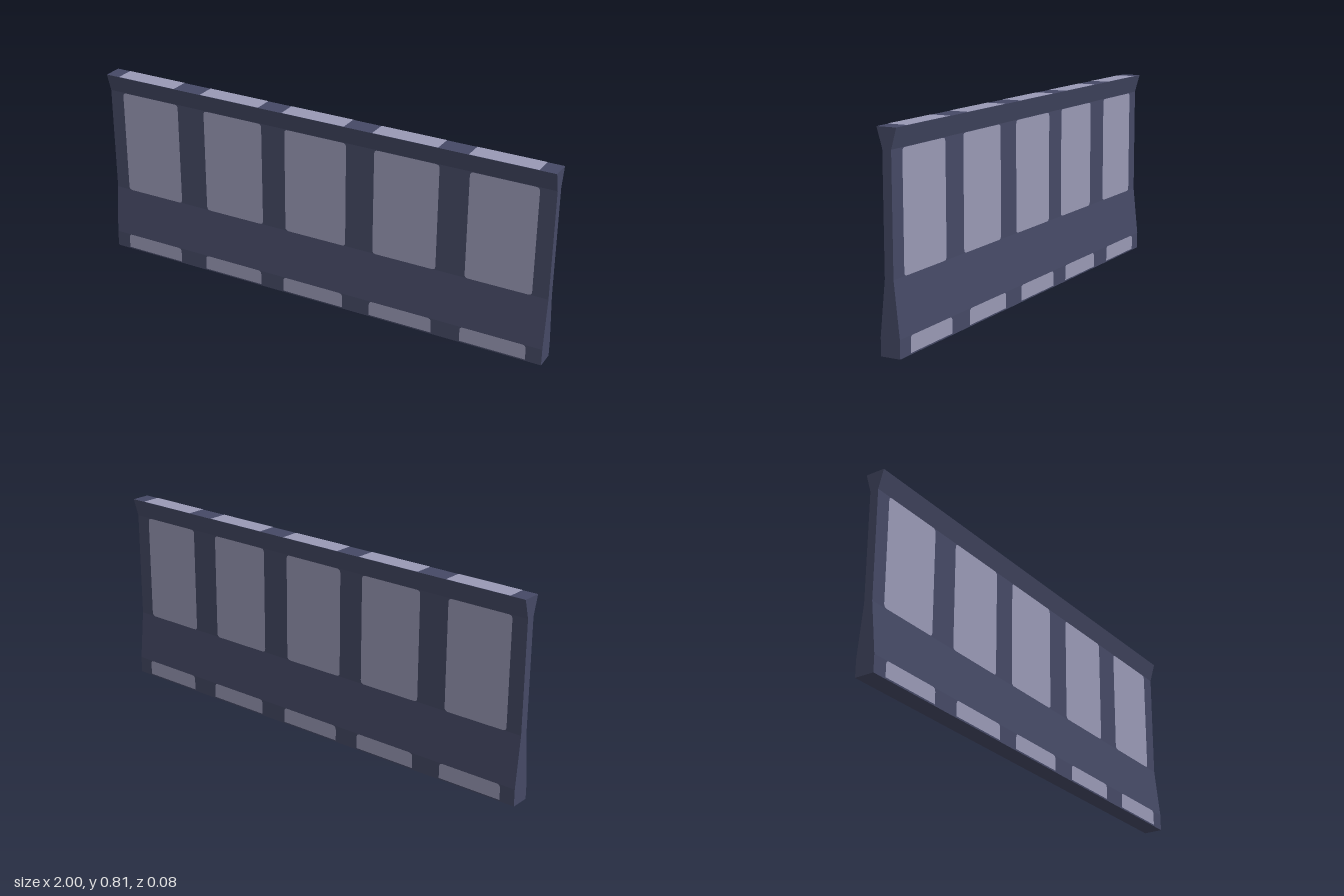
import * as THREE from 'three';

const HEIGHT = 0.81, WIDE = 0.04, THIN = 0.018, LIFT = 0.001;

// Half profile as [half depth, height], mirrored front to back
const PROFILE = [[WIDE, 0], [WIDE, 0.07], [THIN, 0.28], [THIN, 0.733], [WIDE, HEIGHT]];

// Left and right limits of each panel column
const COLUMNS = [[-0.937, -0.66], [-0.532, -0.255], [-0.147, 0.132], [0.255, 0.532], [0.656, 0.934]];

// Flat panel with rounded top corners and, optionally, rounded bottom corners
function panelGeometry(x0, x1, y0, y1, top, bottom) {
  const s = new THREE.Shape();
  s.moveTo(x0 + bottom, y0);
  s.lineTo(x1 - bottom, y0);
  if (bottom) s.quadraticCurveTo(x1, y0, x1, y0 + bottom);
  s.lineTo(x1, y1 - top);
  if (top) s.quadraticCurveTo(x1, y1, x1 - top, y1);
  s.lineTo(x0 + top, y1);
  if (top) s.quadraticCurveTo(x0, y1, x0, y1 - top);
  s.lineTo(x0, y0 + bottom);
  if (bottom) s.quadraticCurveTo(x0, y0, x0 + bottom, y0);
  return new THREE.ShapeGeometry(s, 4);
}

export function createModel() {
  const model = new THREE.Group();
  model.name = 'wallBarrier';

  const navy = new THREE.MeshStandardMaterial({ color: 0x454965 });
  navy.name = 'dark slate blue';
  const lilac = new THREE.MeshStandardMaterial({ color: 0x9999b5 });
  lilac.name = 'pale lilac grey';

  const add = (name, geometry, material, parent = model) => {
    const mesh = new THREE.Mesh(geometry, material);
    mesh.name = name;
    parent.add(mesh);
    return mesh;
  };

  // Wall body: two lengths meeting at a seam
  const outline = [...PROFILE, ...PROFILE.map(([z, y]) => [-z, y]).reverse()];
  const section = new THREE.Shape(outline.map(([z, y]) => new THREE.Vector2(z, y)));
  for (const [name, x0, x1] of [['shortWallSection', -1, -0.597], ['longWallSection', -0.597, 1]]) {
    const body = new THREE.ExtrudeGeometry(section, { depth: x1 - x0, bevelEnabled: false });
    body.rotateY(Math.PI / 2).translate(x0, 0, 0);
    add(name, body, navy);
  }

  // Upper and lower panels on both faces
  for (const side of [1, -1]) {
    const face = new THREE.Group();
    face.name = side > 0 ? 'frontPanels' : 'backPanels';
    model.add(face);
    for (const [a, b] of COLUMNS) {
      const [x0, x1] = side > 0 ? [a, b] : [-b, -a];
      add('upperPanel', panelGeometry(x0, x1, 0.28, 0.732, 0.016, 0.016), lilac, face).position.z = THIN + LIFT;
      add('lowerPanel', panelGeometry(x0, x1, 0.006, 0.07, 0.016, 0), lilac, face).position.z = WIDE + LIFT;
    }
    if (side < 0) face.rotation.y = Math.PI;
  }

  // Cap strips along the top
  for (const [x0, x1] of COLUMNS) {
    const cap = panelGeometry(x0, x1, -WIDE, WIDE, 0, 0).rotateX(-Math.PI / 2);
    add('topStrip', cap, lilac).position.y = HEIGHT + LIFT;
  }

  return model;
}
